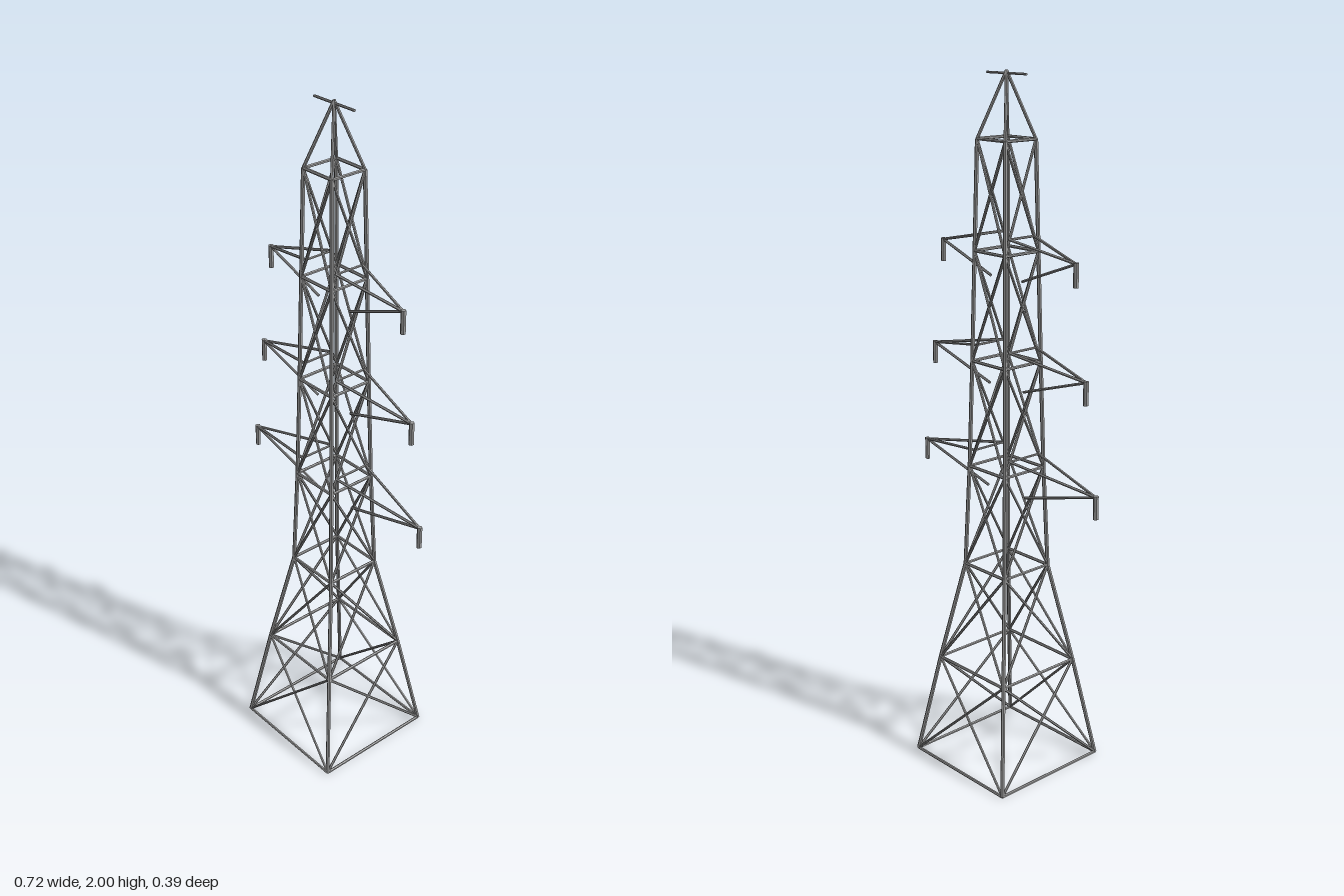
import * as THREE from 'three';

export function createModel() {
  const model = new THREE.Group();
  model.name = 'latticePylon';
  const steel = new THREE.MeshStandardMaterial({ color: 0x9a9a9a, flatShading: true });
  steel.name = 'grey steel';

  const V = (x, y, z) => new THREE.Vector3(x, y, z);
  const up = V(0, 1, 0);
  const makeGroup = (name) => {
    const g = new THREE.Group();
    g.name = name;
    model.add(g);
    return g;
  };

  // One straight bar between two points
  function strut(parent, name, a, b, r) {
    const d = b.clone().sub(a);
    const mesh = new THREE.Mesh(new THREE.CylinderGeometry(r, r, d.length(), 6), steel);
    mesh.position.copy(a).add(b).multiplyScalar(0.5);
    mesh.quaternion.setFromUnitVectors(up, d.normalize());
    mesh.name = name;
    parent.add(mesh);
  }

  // Height and half width of each horizontal ring
  const levels = [
    [0.006, 0.188], [0.312, 0.138], [0.612, 0.084], [0.91, 0.074],
    [1.217, 0.067], [1.524, 0.061], [1.822, 0.055],
  ];
  const corner = ([y, h], i) => {
    const [sx, sz] = [[1, 1], [1, -1], [-1, -1], [-1, 1]][i % 4];
    return V(sx * h, y, sz * h);
  };
  const halfWidth = (y) => {
    const i = levels.findIndex((l, k) => k < levels.length - 1 && y <= levels[k + 1][0]);
    const [a, b] = [levels[i], levels[i + 1]];
    return THREE.MathUtils.mapLinear(y, a[0], b[0], a[1], b[1]);
  };

  // Legs, rings and crossed braces
  const tower = makeGroup('tower');
  levels.forEach((level, k) => {
    const next = levels[k + 1];
    for (let i = 0; i < 4; i++) {
      strut(tower, 'ring', corner(level, i), corner(level, i + 1), 0.0045);
      if (!next) continue;
      strut(tower, 'leg', corner(level, i), corner(next, i), 0.006);
      strut(tower, 'brace', corner(level, i), corner(next, i + 1), 0.004);
      strut(tower, 'brace', corner(level, i + 1), corner(next, i), 0.004);
    }
  });

  // Pointed peak with its thin crossbar
  const peak = makeGroup('peak');
  for (let i = 0; i < 4; i++) {
    strut(peak, 'peakLeg', corner(levels[6], i), V(0, 1.997, 0), 0.0045);
  }
  strut(peak, 'crossbar', V(-0.076, 1.99, 0), V(0.076, 1.99, 0), 0.0035);

  // Three pairs of cross arms with hanging insulators
  for (const [y, reach] of [[0.91, 0.352], [1.217, 0.308], [1.524, 0.265]]) {
    for (const side of [-1, 1]) {
      const arm = makeGroup(side > 0 ? 'leftArm' : 'rightArm');
      const tip = V(side * reach, y, 0);
      const yTop = y + 0.043, yLow = y - 0.075;
      const hTop = halfWidth(yTop), hLow = halfWidth(yLow);
      const root = (s) => V(side * hTop, yTop, s * hTop * 0.75);
      for (const s of [-1, 1]) strut(arm, 'upperChord', root(s), tip, 0.004);
      strut(arm, 'rootBar', root(-1), root(1), 0.0035);
      strut(arm, 'lowerChord', V(side * hLow, yLow, 0), tip, 0.004);
      strut(arm, 'insulator', V(tip.x, y + 0.004, 0), V(tip.x, y - 0.062, 0), 0.0075);
    }
  }
  return model;
}
